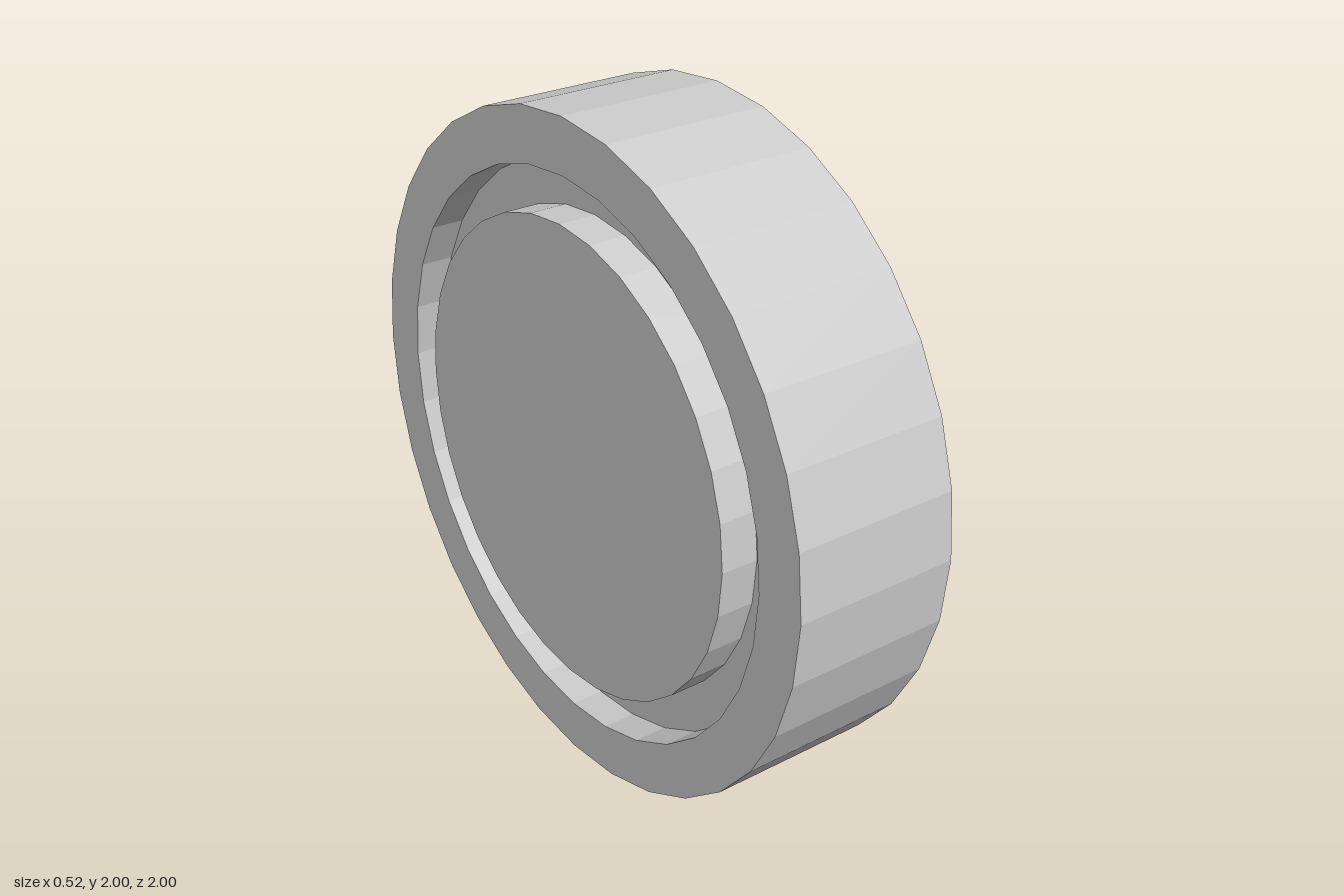
import * as THREE from 'three';

const SIDES = 32;

export function createModel() {
  const model = new THREE.Group();
  model.name = 'wheel';
  const material = new THREE.MeshStandardMaterial({ color: 0xcccccc, flatShading: true });

  const addPart = (name, geometry) => {
    geometry.rotateZ(-Math.PI / 2); // lay the axle along x
    const mesh = new THREE.Mesh(geometry, material);
    mesh.name = name;
    mesh.position.y = 1;
    model.add(mesh);
  };

  // Tyre with a recessed groove on both faces: [radius, offset along axle]
  const profile = [
    [0.71, -0.15], [0.84, -0.15], [0.84, -0.25], [1, -0.25],
    [1, 0.25], [0.84, 0.25], [0.84, 0.15], [0.71, 0.15],
  ].map(([r, a]) => new THREE.Vector2(r, a));
  addPart('tyre', new THREE.LatheGeometry(profile, SIDES));

  // Solid hub disc, standing slightly proud of the tyre on both faces
  addPart('hub', new THREE.CylinderGeometry(0.71, 0.71, 0.525, SIDES));

  return model;
}
